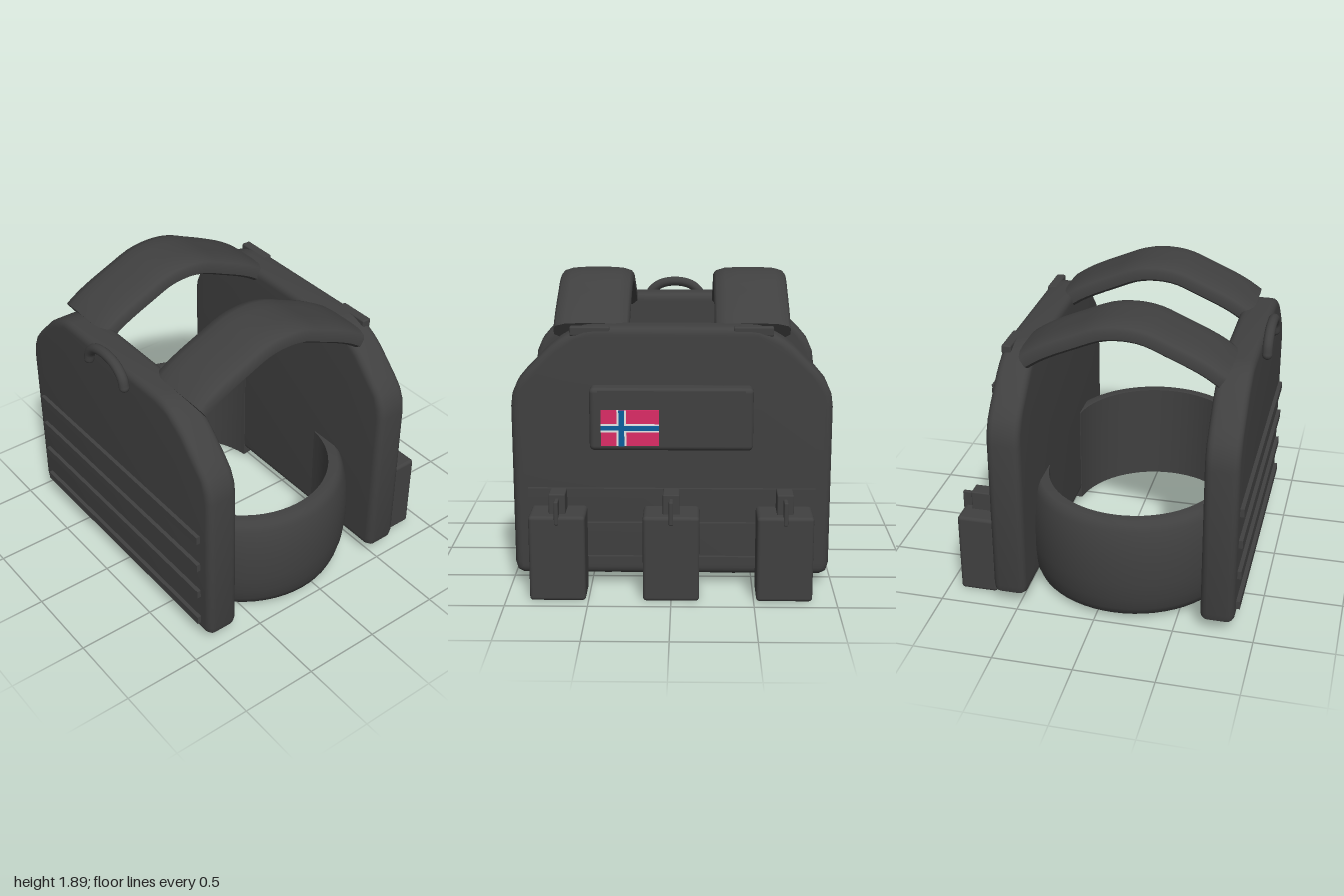
import * as THREE from 'three';
import { toCreasedNormals } from 'three/addons/utils/BufferGeometryUtils.js';
import { RoundedBoxGeometry } from 'three/addons/geometries/RoundedBoxGeometry.js';

const mat = (name, color) => {
  const m = new THREE.MeshStandardMaterial({ color });
  m.name = name;
  return m;
};

// Sweep a convex section of [width z, outward height] along [x, y, nx, ny] stations running toward +x
function sweep(stations, section) {
  const n = section.length, pos = [], idx = [];
  for (const [x, y, nx, ny] of stations)
    for (const [w, h] of section) pos.push(x + nx * h, y + ny * h, w);
  for (let i = 0; i < stations.length - 1; i++)
    for (let j = 0; j < n; j++) {
      const a = i * n + j, b = i * n + (j + 1) % n;
      idx.push(a, b, a + n, b, b + n, a + n);
    }
  const e = (stations.length - 1) * n;
  for (let j = 1; j < n - 1; j++) idx.push(0, j + 1, j, e, e + j, e + j + 1);
  const g = new THREE.BufferGeometry();
  g.setAttribute('position', new THREE.Float32BufferAttribute(pos, 3));
  g.setIndex(idx);
  return toCreasedNormals(g, 0.7);
}

const mirrorSection = half => [...half, ...half.slice().reverse().map(([w, h]) => [-w, h])];

export function createModel() {
  const model = new THREE.Group();
  model.name = 'armourVest';
  const fabric = mat('charcoal fabric', 0x404040);
  const red = mat('flag red', 0xdc2c66);
  const white = mat('flag white', 0xf2f2f2);
  const blue = mat('flag blue', 0x0b5f9e);

  const add = (name, geo, material = fabric, parent = model) => {
    const m = new THREE.Mesh(geo, material);
    m.name = name;
    parent.add(m);
    return m;
  };
  // Box given by its limits on each axis, optionally rounded
  const box = (name, [x0, x1], [y0, y1], [z0, z1], r = 0, material = fabric, parent = model) => {
    const s = [x1 - x0, y1 - y0, z1 - z0];
    const g = r ? new RoundedBoxGeometry(...s, 3, r) : new THREE.BoxGeometry(...s);
    const m = add(name, g, material, parent);
    m.position.set((x0 + x1) / 2, (y0 + y1) / 2, (z0 + z1) / 2);
    return m;
  };

  // Two padded panels with sloped shoulders
  const half = [[0.92, 0.08], [0.96, 0.1], [0.975, 0.15], [0.975, 1.15], [0.965, 1.23], [0.93, 1.31],
    [0.875, 1.375], [0.73, 1.52], [0.67, 1.565], [0.6, 1.605], [0.53, 1.632], [0.46, 1.64]];
  const outline = [...half, ...half.slice().reverse().map(([z, y]) => [-z, y])];
  const shape = new THREE.Shape(outline.map(p => new THREE.Vector2(...p)));
  const bevel = 0.045;
  const panelGeo = toCreasedNormals(new THREE.ExtrudeGeometry(shape, {
    depth: 0.21 - 2 * bevel, bevelEnabled: true, bevelSize: bevel,
    bevelThickness: bevel, bevelOffset: -bevel, bevelSegments: 4,
  }).translate(0, 0, bevel).rotateY(Math.PI / 2), 0.6);
  add('chestPanel', panelGeo).position.x = 0.45;
  add('backPanel', panelGeo).position.x = -0.87;

  // Arched shoulder straps
  const arch = [[0, 1.78], [0.12, 1.766], [0.26, 1.71], [0.42, 1.64], [0.5, 1.598], [0.575, 1.548]];
  const pts = [...arch.slice(1).reverse().map(([d, y]) => [-d, y]), ...arch];
  const curve = new THREE.CatmullRomCurve3(pts.map(([d, y]) => new THREE.Vector3(d - 0.11, y, 0)));
  const strapStations = [];
  for (let i = 0; i <= 28; i++) {
    const p = curve.getPointAt(i / 28), t = curve.getTangentAt(i / 28);
    strapStations.push([p.x, p.y, -t.y, t.x]);
  }
  const strapGeo = sweep(strapStations, mirrorSection(
    [[-0.2, 0], [-0.23, 0.02], [-0.23, 0.07], [-0.215, 0.09], [-0.16, 0.107], [-0.08, 0.112]]));
  for (const s of [1, -1])
    add(s > 0 ? 'leftShoulderStrap' : 'rightShoulderStrap', strapGeo).position.z = 0.49 * s;

  // Curved waist bands, tucked into both panels
  const bandStations = [];
  for (let i = 0; i <= 28; i++) {
    const a = Math.PI * (0.96 - 0.92 * i / 28), c = Math.cos(a), s = Math.sin(a);
    bandStations.push([-0.11 + 0.56 * c, 0.305 + 0.56 * s, c, s]);
  }
  const bandGeo = sweep(bandStations, mirrorSection(
    [[-0.34, 0], [-0.34, 0.06], [-0.325, 0.082], [-0.28, 0.1], [-0.2, 0.12], [-0.08, 0.133]]));
  for (const s of [1, -1]) {
    const band = add(s > 0 ? 'leftWaistBand' : 'rightWaistBand', bandGeo);
    band.rotation.x = s * Math.PI / 2;
    band.position.y = 0.37;
  }

  // Drag handle on the back
  const loop = new THREE.CatmullRomCurve3([[-0.19, 1.555], [-0.175, 1.61], [-0.11, 1.668], [0, 1.69],
    [0.11, 1.668], [0.175, 1.61], [0.19, 1.555]].map(([z, y]) => new THREE.Vector3(-0.9, y, z)));
  add('dragHandle', new THREE.TubeGeometry(loop, 28, 0.032, 12));
  for (const z of [-0.19, 0.19]) add('handleEnd', new THREE.SphereGeometry(0.032, 12, 8)).position.set(-0.9, 1.555, z);

  // Webbing rows
  for (const y of [0.177, 0.397, 0.617, 0.837]) {
    if (y < 0.8) box('chestWebbing', [0.65, 0.685], [y - 0.027, y + 0.027], [-0.88, 0.88]);
    box('backWebbing', [-0.895, -0.86], [y - 0.027, y + 0.027], [-0.88, 0.88]);
  }

  // Strap anchors on top of the chest panel
  for (const s of [1, -1])
    box('strapAnchor', [0.595, 0.655], [1.585, 1.642], s > 0 ? [0.37, 0.61] : [-0.61, -0.37], 0.01);

  // Admin pocket with its zip
  box('chestPocket', [0.655, 0.78], [0.91, 1.295], [-0.49, 0.49], 0.03);
  box('pocketZip', [0.77, 0.79], [1.265, 1.282], [-0.44, 0.44]);

  // Flag patch
  const flag = new THREE.Group();
  flag.name = 'flagPatch';
  model.add(flag);
  box('flagField', [0.779, 0.788], [0.945, 1.165], [0.073, 0.42], 0, red, flag);
  box('whiteUpright', [0.787, 0.791], [0.945, 1.165], [0.268, 0.326], 0, white, flag);
  box('whiteBar', [0.787, 0.791], [1.03, 1.08], [0.073, 0.42], 0, white, flag);
  box('blueUpright', [0.79, 0.795], [0.945, 1.165], [0.28, 0.314], 0, blue, flag);
  box('blueBar', [0.79, 0.795], [1.041, 1.069], [0.073, 0.42], 0, blue, flag);

  // Three magazine pouches with flap and pull tab
  for (const z of [0.685, 0, -0.685]) {
    const pouch = new THREE.Group();
    pouch.name = 'magazinePouch';
    pouch.position.z = z;
    model.add(pouch);
    box('pouchBody', [0.68, 0.92], [0.005, 0.54], [-0.17, 0.17], 0.022, fabric, pouch);
    box('pouchFlap', [0.715, 0.86], [0.5, 0.662], [-0.05, 0.05], 0.008, fabric, pouch);
    box('pullTab', [0.675, 0.93], [0.49, 0.637], [-0.013, 0.013], 0.008, fabric, pouch);
  }
  return model;
}
